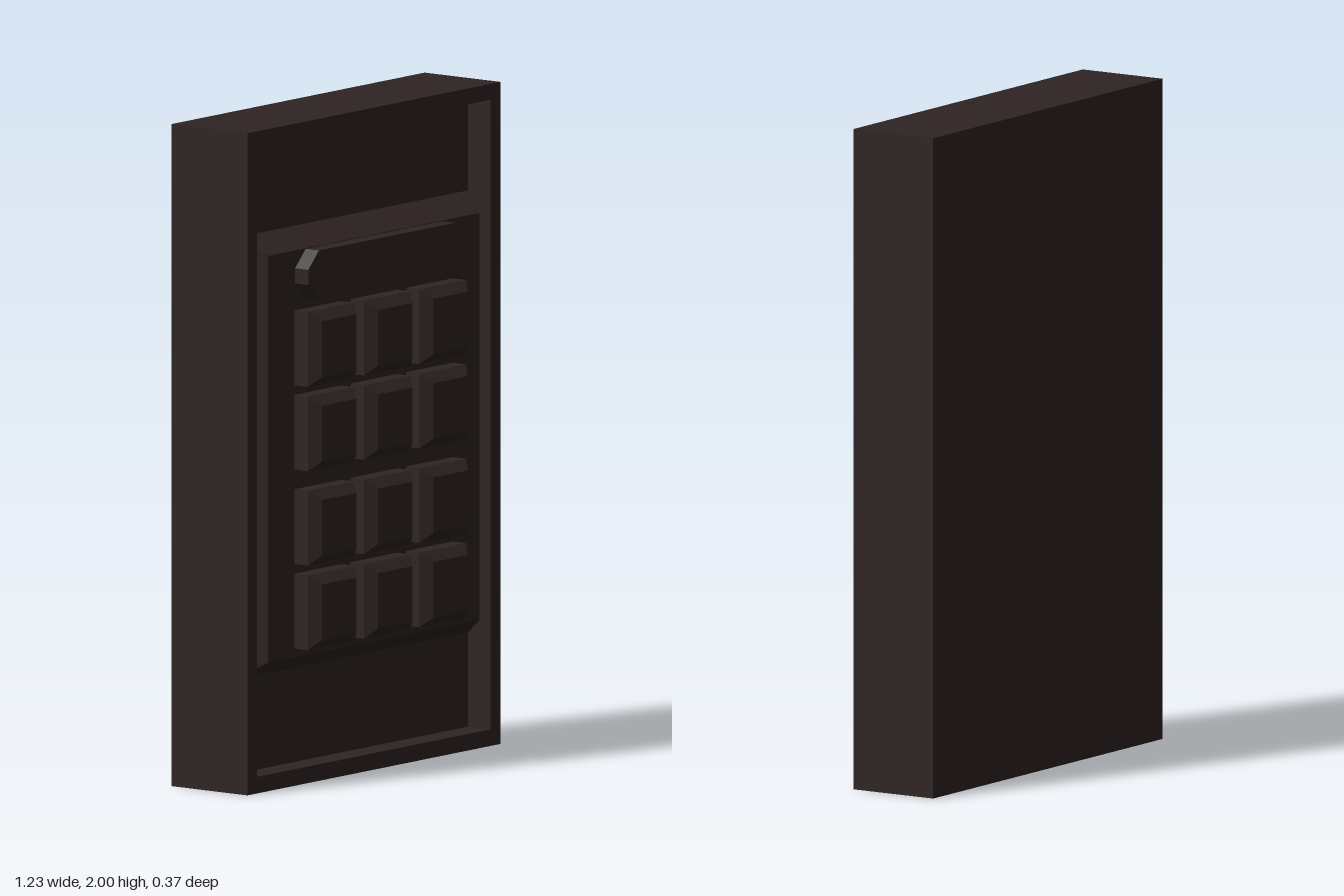
import * as THREE from 'three';

const BACK = -0.183, FLOOR = 0.018, FACE = 0.103, KEY_EDGE = 0.153, KEY_TOP = 0.183;

// Flat-shaded block from z0 to z1 whose front face is pulled in by `inset`
function taperedBlock(w, h, z0, z1, inset) {
  const g = new THREE.BoxGeometry(w, h, z1 - z0).toNonIndexed();
  const p = g.attributes.position;
  for (let i = 0; i < p.count; i++) {
    if (p.getZ(i) > 0) {
      p.setX(i, p.getX(i) - Math.sign(p.getX(i)) * inset);
      p.setY(i, p.getY(i) - Math.sign(p.getY(i)) * inset);
    }
  }
  g.translate(0, 0, (z0 + z1) / 2);
  g.computeVertexNormals();
  return g;
}

function rectangle(Type, x, y0, y1) {
  return new Type([[-x, y0], [x, y0], [x, y1], [-x, y1]].map(([a, b]) => new THREE.Vector2(a, b)));
}

function extrude(shape, z0, z1) {
  const g = new THREE.ExtrudeGeometry(shape, { depth: z1 - z0, bevelEnabled: false });
  return g.translate(0, 0, z0);
}

export function createModel() {
  const model = new THREE.Group();
  model.name = 'keypad';
  const casing = new THREE.MeshStandardMaterial({ color: 0x2e2423, flatShading: true });
  casing.name = 'dark brown casing';

  const add = (name, geometry, x = 0, y = 0, parent = model) => {
    const mesh = new THREE.Mesh(geometry, casing);
    mesh.name = name;
    mesh.position.set(x, y, 0);
    parent.add(mesh);
  };

  // Housing: solid back with a raised rim around a recess
  add('housing', taperedBlock(1.232, 2, BACK, FLOOR, 0), 0, 1);
  const rim = rectangle(THREE.Shape, 0.616, 0, 2);
  rim.holes.push(rectangle(THREE.Path, 0.568, 0.05, 1.952));
  add('rim', extrude(rim, FLOOR, FACE));

  // Bevelled panel rising from the recess to the rim's height
  add('panel', taperedBlock(1.136, 1.335, FLOOR, FACE, 0.053), 0, 1.0025);

  // Display bar with clipped corners
  const w = 0.384, h = 0.075, c = 0.052;
  const bar = new THREE.Shape([
    [-w + c, -h], [w - c, -h], [w, -h + c], [w, h - c],
    [w - c, h], [-w + c, h], [-w, h - c], [-w, -h + c],
  ].map(([x, y]) => new THREE.Vector2(x, y)));
  add('display', extrude(bar, FACE, KEY_EDGE), 0, 1.54);

  // Twelve keys, each a straight base with a chamfered cap
  for (const y of [1.323, 1.068, 0.783, 0.528]) {
    for (const x of [-0.273, 0, 0.27]) {
      const key = new THREE.Group();
      key.name = 'key';
      add('keyBase', taperedBlock(0.226, 0.226, FACE, KEY_EDGE, 0), 0, 0, key);
      add('keyCap', taperedBlock(0.226, 0.226, KEY_EDGE, KEY_TOP, 0.029), 0, 0, key);
      key.position.set(x, y, 0);
      model.add(key);
    }
  }
  return model;
}
